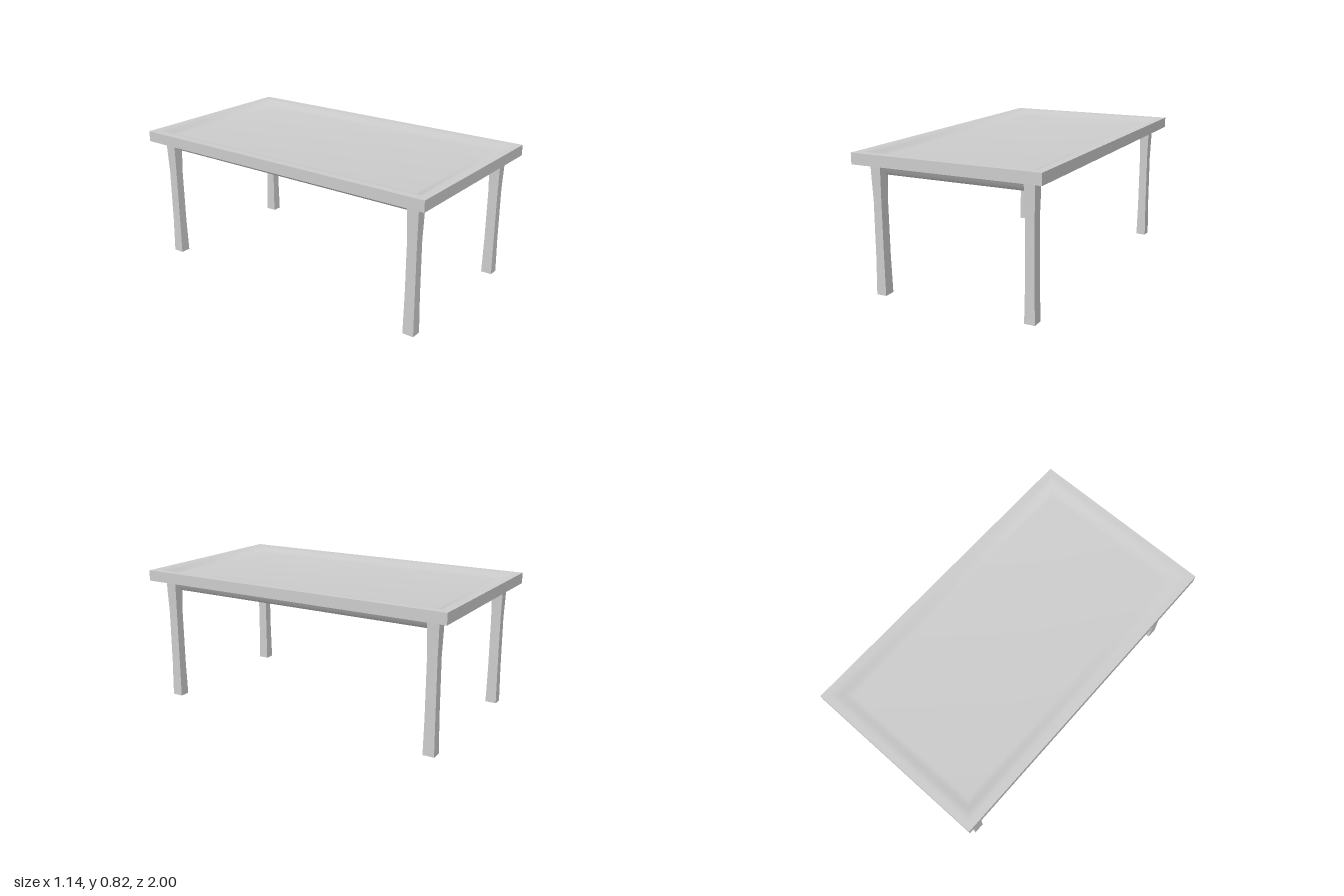
import * as THREE from 'three';
import { toCreasedNormals } from 'three/addons/utils/BufferGeometryUtils.js';

const HALF_X = 0.57, HALF_Z = 1;
const grey = new THREE.MeshStandardMaterial({ color: 0xcccccc });

// Closed slab from concentric rectangles; each profile point is [inset, y], bottom to top
function slab(profile) {
  const pos = [], index = [];
  for (const [inset, y] of profile) {
    const x = HALF_X - inset, z = HALF_Z - inset;
    pos.push(x, y, z, x, y, -z, -x, y, -z, -x, y, z);
  }
  const last = (profile.length - 1) * 4;
  for (let r = 0; r < last; r += 4) {
    for (let i = 0; i < 4; i++) {
      const a = r + i, b = r + (i + 1) % 4;
      index.push(a, b, b + 4, a, b + 4, a + 4);
    }
  }
  index.push(0, 2, 1, 0, 3, 2, last, last + 1, last + 2, last, last + 2, last + 3);
  const geo = new THREE.BufferGeometry();
  geo.setAttribute('position', new THREE.Float32BufferAttribute(pos, 3));
  geo.setIndex(index);
  return toCreasedNormals(geo, 0.9);
}

// Soft S-shaped step between two insets
function step(from, to, y0, y1, n = 6) {
  return Array.from({ length: n + 1 }, (_, i) => {
    const t = i / n;
    return [from + (to - from) * t, y0 + (y1 - y0) * THREE.MathUtils.smoothstep(t, 0, 1)];
  });
}

// Square leg, slimmer in the middle and flared at foot and top: [y, half x, half z]
function legGeometry() {
  const sections = [
    [0, 0.031, 0.034], [0.22, 0.027, 0.031], [0.55, 0.026, 0.03],
    [0.68, 0.03, 0.034], [0.77, 0.032, 0.036],
  ];
  const geo = new THREE.BoxGeometry(2, sections.length - 1, 2, 1, sections.length - 1, 1);
  const p = geo.attributes.position;
  for (let i = 0; i < p.count; i++) {
    const [y, hx, hz] = sections[Math.round(p.getY(i) + (sections.length - 1) / 2)];
    p.setXYZ(i, p.getX(i) * hx, y, p.getZ(i) * hz);
  }
  geo.computeVertexNormals();
  return geo;
}

export function createModel() {
  const table = new THREE.Group();
  table.name = 'table';

  // Top: deeper panel underneath, straight rim, shallow dish above
  const top = new THREE.Mesh(slab([
    ...step(0.135, 0.07, 0.69, 0.76),
    [0, 0.76], [0, 0.825],
    ...step(0.04, 0.13, 0.825, 0.797),
  ]), grey);
  top.name = 'tableTop';
  table.add(top);

  // Four legs
  const geo = legGeometry();
  for (const sx of [-1, 1]) {
    for (const sz of [-1, 1]) {
      const leg = new THREE.Mesh(geo, grey);
      leg.name = (sz > 0 ? 'front' : 'back') + (sx > 0 ? 'Left' : 'Right') + 'Leg';
      leg.position.set(sx * 0.467, 0, sz * 0.893);
      table.add(leg);
    }
  }
  return table;
}
